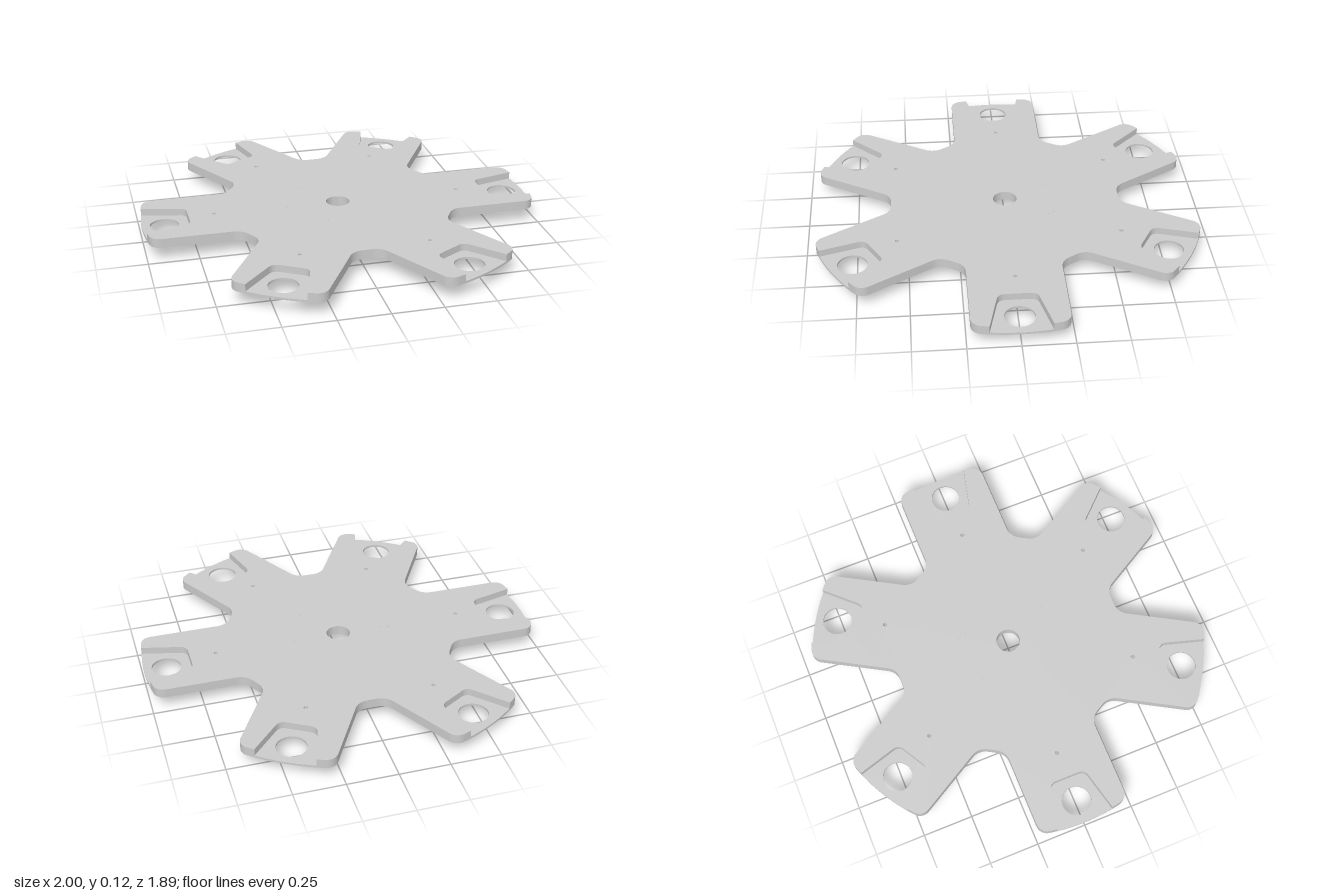
import * as THREE from 'three';
import { toCreasedNormals } from 'three/addons/utils/BufferGeometryUtils.js';

const ARMS = 6, STEP = Math.PI / 3;
const HALF = 0.23;       // half width of an arm
const VALLEY = 0.58;     // distance from centre to the flat between arms
const BOTTOM = 0.07, FLOOR = 0.081, TOP = 0.117;

const material = new THREE.MeshStandardMaterial({ color: 0xcccccc });
const rot = (x, y, a) => [x * Math.cos(a) - y * Math.sin(a), x * Math.sin(a) + y * Math.cos(a)];

function addHole(shape, radius, distance, angle) {
  const [x, y] = rot(distance, 0, angle);
  shape.holes.push(new THREE.Path().absarc(x, y, radius, 0, Math.PI * 2, true));
}

// Six-armed outline; with pockets, each arm tip gets a tapered notch
function plateShape(pockets) {
  const s = new THREE.Shape();
  const r = 0.055, cy = HALF - r, cx = Math.sqrt((1 - r) ** 2 - cy ** 2);
  const tip = Math.atan2(cy, cx), notch = 0.146;
  const vr = 0.08, vt = vr * Math.tan(Math.PI / 6);
  const vx = (VALLEY - HALF * 0.5) / Math.cos(Math.PI / 6) + vt, vy = HALF + vr;

  for (let i = 0; i < ARMS; i++) {
    const a = i * STEP;
    const arc = (x, y, rad, from, to, cw) => s.absarc(...rot(x, y, a), rad, from + a, to + a, cw);
    // rounded arm tip
    arc(cx, -cy, r, -Math.PI / 2, -tip, false);
    if (pockets) {
      arc(0, 0, 1, -tip, -notch, false);
      s.lineTo(...rot(0.8, -0.1, a));
      s.quadraticCurveTo(...rot(0.767, -0.092, a), ...rot(0.767, -0.058, a));
      s.lineTo(...rot(0.767, 0.058, a));
      s.quadraticCurveTo(...rot(0.767, 0.092, a), ...rot(0.8, 0.1, a));
      arc(0, 0, 1, notch, tip, false);
    } else {
      arc(0, 0, 1, -tip, tip, false);
    }
    arc(cx, cy, r, tip, Math.PI / 2, false);
    // filleted valley to the next arm, mirrored about its middle
    const c = Math.cos(STEP), n = Math.sin(STEP);
    arc(vx, vy, vr, -Math.PI / 2, -Math.PI * 5 / 6, true);
    arc(vx * c + vy * n, vx * n - vy * c, vr, Math.PI * 7 / 6, Math.PI * 5 / 6, true);
    // small hole along the arm
    addHole(s, 0.01, 0.637, a);
    if (!pockets) addHole(s, 0.073, 0.888, a);
  }
  addHole(s, 0.06, 0, 0);
  return s;
}

function slab(name, shape, y0, y1) {
  const g = new THREE.ExtrudeGeometry(shape, { depth: y1 - y0, bevelEnabled: false, curveSegments: 20 });
  g.rotateX(-Math.PI / 2).translate(0, y0, 0);
  const mesh = new THREE.Mesh(toCreasedNormals(g, 0.5), material);
  mesh.name = name;
  return mesh;
}

function cylinder(name, radius, y0, y1, angle) {
  const mesh = new THREE.Mesh(new THREE.CylinderGeometry(radius, radius, y1 - y0, 20), material);
  const [x, z] = rot(0.245, 0, angle);
  mesh.position.set(x, (y0 + y1) / 2, z);
  mesh.name = name;
  return mesh;
}

export function createModel() {
  const group = new THREE.Group();
  group.name = 'sixArmedPlate';
  // thin floor carrying the large tip holes, and the thick pocketed plate on it
  group.add(slab('plateFloor', plateShape(false), BOTTOM, FLOOR));
  group.add(slab('plateBody', plateShape(true), FLOOR, TOP));
  // ring of pins below, with heads flush in the top face
  for (let i = 0; i < ARMS; i++) {
    group.add(cylinder('pin', 0.014, 0, TOP - 0.005, i * STEP));
    group.add(cylinder('pinHead', 0.024, TOP - 0.02, TOP + 0.0005, i * STEP));
  }
  return group;
}
